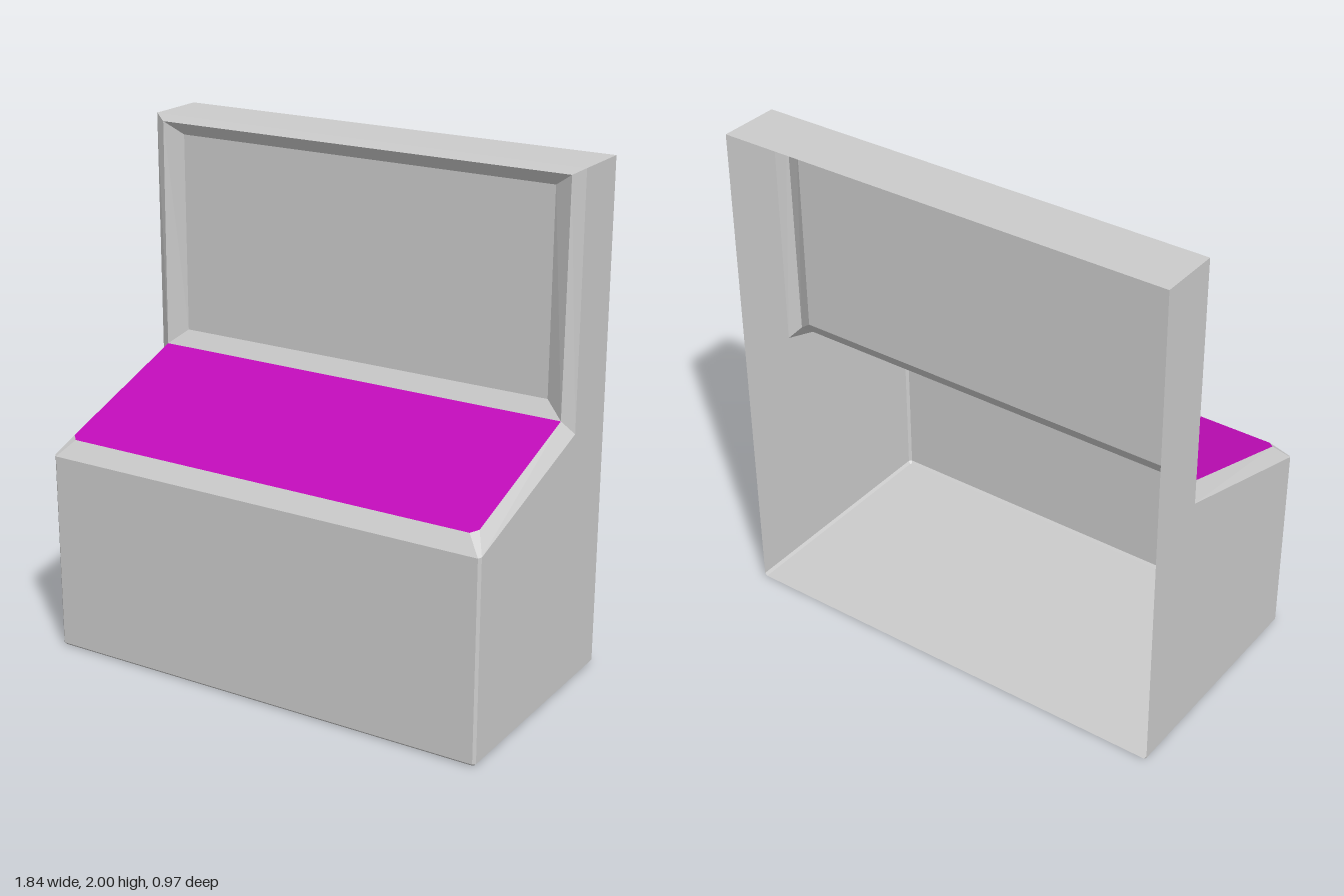
import * as THREE from 'three';

const grey = new THREE.MeshStandardMaterial({ color: 0xcccccc, flatShading: true, side: THREE.DoubleSide });
const purple = new THREE.MeshStandardMaterial({ color: 0xc00cb8, flatShading: true, side: THREE.DoubleSide });

// Thin surface from a list of [x, y, z] triangle corners
function surface(name, corners, material = grey) {
  const geometry = new THREE.BufferGeometry();
  geometry.setAttribute('position', new THREE.Float32BufferAttribute(corners.flat(), 3));
  geometry.computeVertexNormals();
  const mesh = new THREE.Mesh(geometry, material);
  mesh.name = name;
  return mesh;
}

// Band of quads joining two edges with equal point counts
function band(name, a, b, closed = false) {
  const corners = [];
  const n = a.length;
  for (let i = 0; i < (closed ? n : n - 1); i++) {
    const j = (i + 1) % n;
    corners.push(a[i], a[j], b[j], a[i], b[j], b[i]);
  }
  return surface(name, corners);
}

// Flat convex panel
function panel(name, p, material) {
  const corners = [];
  for (let i = 1; i < p.length - 1; i++) corners.push(p[0], p[i], p[i + 1]);
  return surface(name, corners, material);
}

// Left-to-right edge mirrored from its right-hand (-x) half
const mirrored = (half) => [...half, ...half.map(([x, y, z]) => [-x, y, z]).reverse()];

// Counter-clockwise rectangle facing the front, starting at the lower +x corner
const frame = (x, y0, y1, z0, z1 = z0) => [[x, y0, z0], [x, y1, z1], [-x, y1, z1], [-x, y0, z0]];

export function createModel() {
  const group = new THREE.Group();
  const W = 0.92, BACK = -0.48, HOOD = -0.235;

  // Side walls
  const profile = [[BACK, 0.01], [0.475, 0.01], [0.475, 0.8], [HOOD, 1.02], [HOOD, 2], [BACK, 2]];
  for (const s of [-1, 1]) {
    const shape = new THREE.Shape(profile.map(([z, y]) => new THREE.Vector2(-s * z, y)));
    const wall = new THREE.Mesh(new THREE.ShapeGeometry(shape), grey);
    wall.name = s > 0 ? 'leftSide' : 'rightSide';
    wall.rotation.y = s * Math.PI / 2;
    wall.position.x = s * W;
    group.add(wall);
  }

  // Floor with its small bevelled edge
  const floorEdge = mirrored([[-0.91, 0, BACK], [-0.91, 0, 0.47], [-0.905, 0, 0.475]]);
  const wallFoot = mirrored([[-W, 0.01, BACK], [-W, 0.01, 0.475], [-0.91, 0.01, 0.485]]);
  group.add(panel('floor', [...floorEdge].reverse()), band('floorBevel', floorEdge, wallFoot));

  // Front wall with narrow corner chamfers
  const deskOuter = mirrored([[-W, 1.02, HOOD], [-W, 0.8, 0.475], [-0.91, 0.797, 0.485]]);
  group.add(band('frontWall', wallFoot.slice(1, 5), deskOuter.slice(1, 5)));

  // Sloping desk with bevelled border
  const deskInner = mirrored([[-0.875, 1.07, -0.205], [-0.875, 0.868, 0.41], [-0.85, 0.86, 0.435]]);
  group.add(band('deskBorder', deskOuter, deskInner), panel('deskTop', deskInner, purple));

  // Upright hood: top, raised rim, recess and back panel
  const rim = frame(0.875, 1.07, 1.975, -0.205, -0.212);
  const screen = frame(0.8, 1.13, 1.925, -0.245);
  group.add(
    panel('hoodTop', [[-W, 2, BACK], [-W, 2, HOOD], [W, 2, HOOD], [W, 2, BACK]]),
    band('hoodRim', frame(W, 1.02, 2, HOOD), rim),
    band('recessWalls', rim, screen, true),
    panel('recessPanel', screen),
  );
  return group;
}
